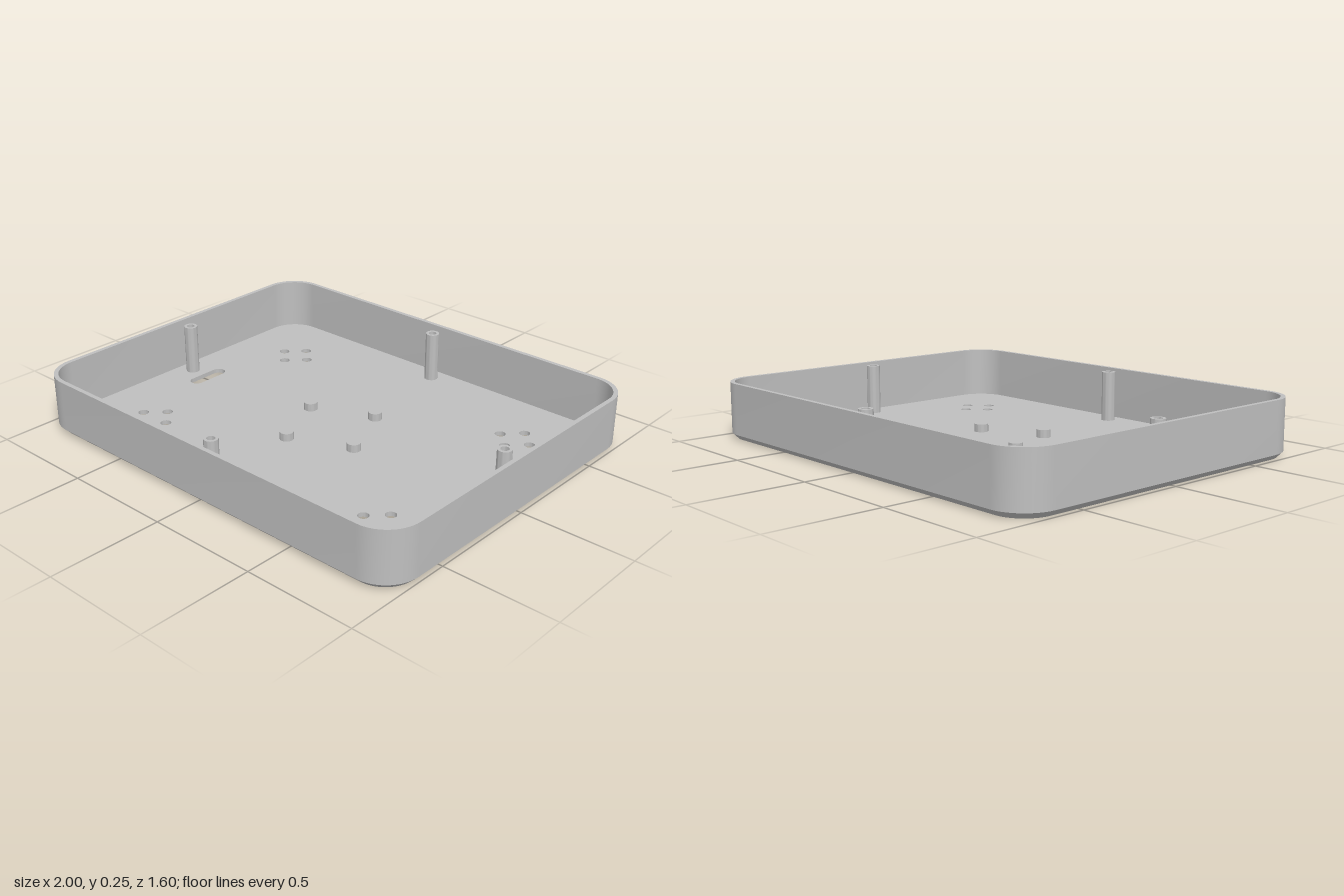
import * as THREE from 'three';
import { toCreasedNormals } from 'three/addons/utils/BufferGeometryUtils.js';

const HALF_X = 1, HALF_Z = 0.8, RADIUS = 0.16;
const HEIGHT = 0.255, FLOOR = 0.02, WALL = 0.02, CHAMFER = 0.025;

// Rounded rectangle outline, moved inwards by `inset`
function outline(inset, steps = 14) {
  const points = [];
  const corners = [[1, 1], [-1, 1], [-1, -1], [1, -1]];
  corners.forEach(([sx, sy], c) => {
    for (let i = 0; i <= steps; i++) {
      const a = (c + i / steps) * Math.PI / 2;
      points.push(new THREE.Vector2(
        sx * (HALF_X - RADIUS) + Math.cos(a) * (RADIUS - inset),
        sy * (HALF_Z - RADIUS) + Math.sin(a) * (RADIUS - inset)));
    }
  });
  return points;
}

// Sweeps a profile of [inset, y] pairs around the outline
function sweepRim(profile) {
  const rings = profile.map(([inset, y]) => outline(inset).map(p => [p.x, y, -p.y]));
  const n = rings[0].length, index = [];
  for (let r = 0; r < rings.length - 1; r++) {
    for (let i = 0; i < n; i++) {
      const a = r * n + i, b = r * n + (i + 1) % n;
      index.push(a, b, b + n, a, b + n, a + n);
    }
  }
  const geometry = new THREE.BufferGeometry();
  geometry.setAttribute('position', new THREE.Float32BufferAttribute(rings.flat(2), 3));
  geometry.setIndex(index);
  return toCreasedNormals(geometry, 0.5);
}

function roundHole(x, z, r) {
  const hole = new THREE.Path();
  hole.absarc(x, -z, r, 0, Math.PI * 2, true);
  return hole;
}

function turned(profile) {
  const points = profile.map(([r, y]) => new THREE.Vector2(r, y));
  return toCreasedNormals(new THREE.LatheGeometry(points, 28), 0.5);
}

export function createModel() {
  const model = new THREE.Group();
  model.name = 'enclosureTray';
  const grey = new THREE.MeshStandardMaterial({ color: 0xbfbfbf });
  grey.name = 'grey plastic';

  const add = (name, geometry, x = 0, z = 0) => {
    const mesh = new THREE.Mesh(geometry, grey);
    mesh.name = name;
    mesh.position.set(x, 0, z);
    model.add(mesh);
  };

  // Side wall with chamfered foot
  add('wall', sweepRim([
    [CHAMFER, 0], [0, CHAMFER], [0, HEIGHT], [WALL, HEIGHT], [WALL, FLOOR], [CHAMFER, FLOOR],
  ]));

  // Floor with mounting holes, cable slot and standoff bores
  const standoffs = [[0.08, -0.2], [0.2, 0.08], [-0.08, 0.2], [-0.2, -0.08]];
  const floor = new THREE.Shape(outline(CHAMFER));
  for (const sx of [-1, 1]) for (const sz of [-1, 1]) {
    for (const [dx, dz] of [[1, 0], [-1, 0], [0, 1], [0, -1]]) {
      floor.holes.push(roundHole(sx * 0.655 + dx * 0.076, sz * 0.455 + dz * 0.076, 0.024));
    }
  }
  standoffs.forEach(([x, z]) => floor.holes.push(roundHole(x, z, 0.013)));
  const slot = new THREE.Path();
  slot.absarc(-0.8, 0.068, 0.032, 0, Math.PI, false);
  slot.absarc(-0.8, -0.068, 0.032, Math.PI, Math.PI * 2, false);
  slot.closePath();
  floor.holes.push(slot);
  const floorGeometry = new THREE.ExtrudeGeometry(floor, {
    depth: FLOOR, bevelEnabled: false, curveSegments: 14,
  }).rotateX(-Math.PI / 2);
  add('floor', toCreasedNormals(floorGeometry, 0.5));

  // Tall hollow screw posts beside the walls
  const post = turned([[0.031, FLOOR], [0.031, 0.25], [0.018, 0.25], [0.018, 0.05], [0, 0.05]]);
  [[0.905, 0], [-0.905, 0], [0, 0.705], [0, -0.705]]
    .forEach(([x, z]) => add('screwPost', post, x, z));

  // Short standoffs, bored from below
  const standoff = turned([
    [0, 0.045], [0.013, 0.045], [0.013, FLOOR], [0.031, FLOOR], [0.031, 0.056], [0, 0.056],
  ]);
  standoffs.forEach(([x, z]) => add('standoff', standoff, x, z));

  return model;
}
